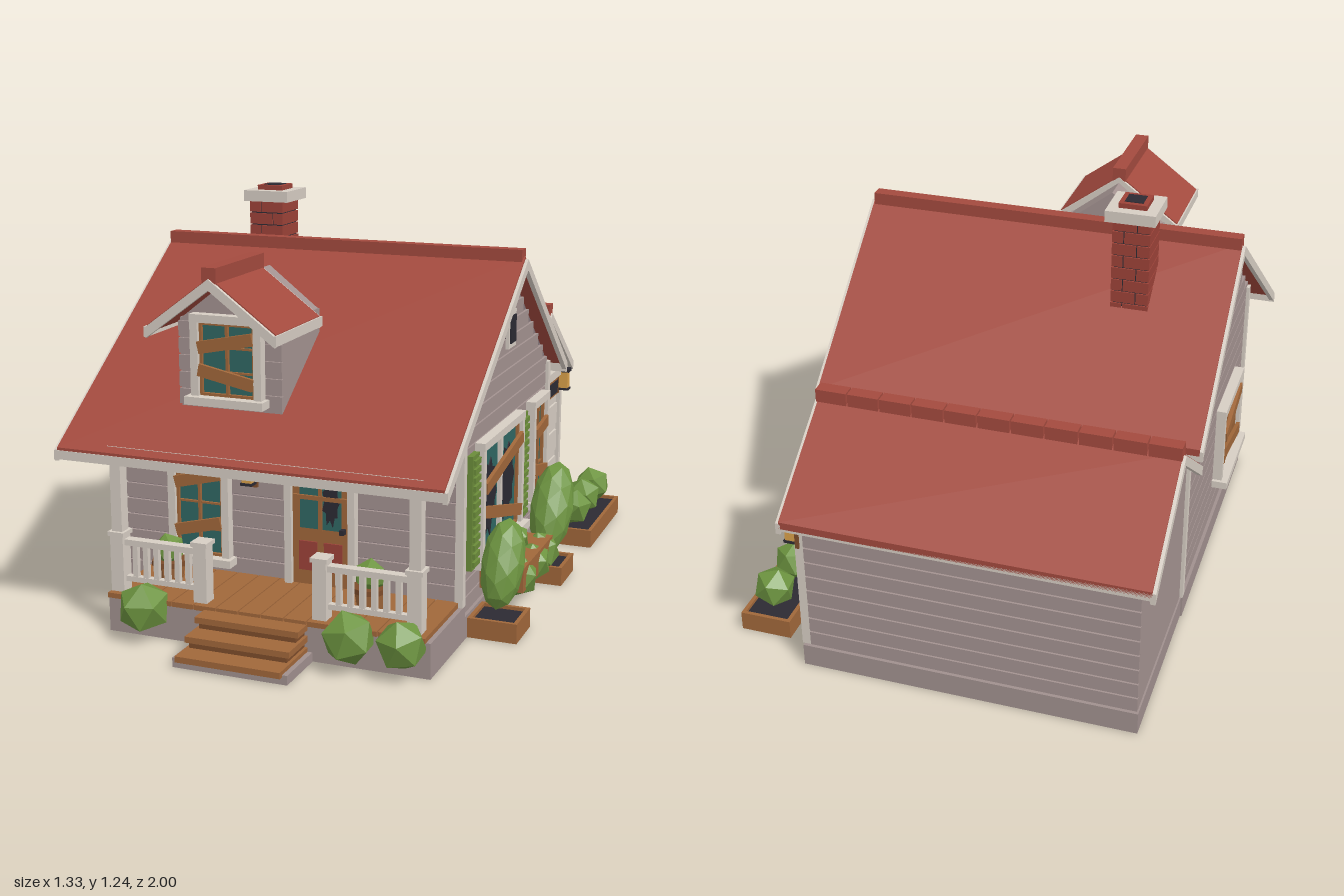
import * as THREE from 'three';

const C = {
  wall: 0xa39290, wallDark: 0x85767a, base: 0xa0908e, roof: 0xa34a3e, trim: 0xd6cdc3, wood: 0xa0673a,
  woodDark: 0x7d4c2a, glass: 0x2f6663, dark: 0x2c2a33, leaf: 0x6d9440, shutter: 0x6b8c3a, red: 0x9c4238, lamp: 0xd9a04a,
};
const mats = {};
const mat = (c) => (mats[c] ??= new THREE.MeshStandardMaterial({ color: C[c], flatShading: true }));

function add(parent, name, geo, color) {
  const m = new THREE.Mesh(geo, mat(color));
  m.name = name;
  parent.add(m);
  return m;
}
// Box from min/max ranges
function box(parent, name, color, x0, x1, y0, y1, z0, z1) {
  const m = add(parent, name, new THREE.BoxGeometry(x1 - x0, y1 - y0, z1 - z0), color);
  m.position.set((x0 + x1) / 2, (y0 + y1) / 2, (z0 + z1) / 2);
  return m;
}
function group(parent, name, x = 0, y = 0, z = 0, ry = 0) {
  const g = new THREE.Group();
  g.name = name;
  g.position.set(x, y, z);
  g.rotation.y = ry;
  parent.add(g);
  return g;
}
const extrude = (pts, depth) => new THREE.ExtrudeGeometry(
  new THREE.Shape(pts.map(([a, b]) => new THREE.Vector2(a, b))), { depth, bevelEnabled: false });
// (z, y) profile swept along x
function prismX(parent, name, color, pts, x0, x1) {
  const m = add(parent, name, extrude(pts.map(([z, y]) => [-z, y]), x1 - x0).rotateY(Math.PI / 2), color);
  m.position.x = x0;
  return m;
}
// (x, y) profile swept along z
function prismZ(parent, name, color, pts, z0, z1) {
  const m = add(parent, name, extrude(pts, z1 - z0), color);
  m.position.z = z0;
  return m;
}
// Bent roof profile: eave, ridge, eave with vertical thickness
const chevron = (a, r, b, t, drop = 0) => [
  ...[a, r, b].map(([u, v]) => [u, v - drop]), ...[b, r, a].map(([u, v]) => [u, v - drop - t])];

// Boarded window facing +z, centred on its origin
function windowUnit(parent, name, x, y, z, ry, w, h, { cols = 2, rows = 3, broken = false, slopes = [0.2, -0.2] } = {}) {
  const g = group(parent, name, x, y, z, ry), W = w / 2, H = h / 2, t = 0.024;
  box(g, 'glass', 'glass', -W, W, -H, H, 0, 0.008);
  for (const s of [-1, 1]) {
    box(g, 'casingSide', 'trim', s * (W + t / 2) - t / 2, s * (W + t / 2) + t / 2, -H, H, 0, 0.03);
    box(g, 'sashSide', 'wood', s * (W - 0.004) - 0.004, s * (W - 0.004) + 0.004, -H, H, 0.004, 0.018);
    box(g, 'sashRail', 'wood', -W, W, s * (H - 0.004) - 0.004, s * (H - 0.004) + 0.004, 0.004, 0.018);
  }
  box(g, 'casingTop', 'trim', -W - t, W + t, H, H + t, 0, 0.032);
  box(g, 'sill', 'trim', -W - t * 1.5, W + t * 1.5, -H - t, -H, 0, 0.05);
  for (let i = 1; i < cols; i++) box(g, 'mullion', broken ? 'trim' : 'wood', -W + w * i / cols - (broken ? 0.01 : 0.004), -W + w * i / cols + (broken ? 0.01 : 0.004), -H, H, 0.004, 0.02);
  if (!broken) for (let j = 1; j < rows; j++) box(g, 'muntin', 'wood', -W, W, -H + h * j / rows - 0.003, -H + h * j / rows + 0.003, 0.004, 0.016);
  if (broken) for (const s of [-1, 1]) hole(g, s * W / 2, 0, w * 0.21, h * 0.42);
  slopes.forEach((a, i) => {
    const p = box(g, 'plank', 'wood', -W, W, -0.018, 0.018, 0.022, 0.034);
    p.position.y = h * (i ? -0.22 : 0.24);
    p.rotation.z = a;
  });
  return g;
}
// Jagged opening in broken glass
function hole(parent, x, y, rx, ry) {
  const pts = [];
  for (let i = 0; i < 18; i++) {
    const a = i * Math.PI / 9, r = i % 2 ? 0.68 : 0.92 + 0.08 * Math.sin(i * 2.7);
    pts.push([x + rx * r * Math.cos(a), y + ry * r * Math.sin(a)]);
  }
  prismZ(parent, 'brokenPane', 'dark', pts, 0.006, 0.011);
}
function bush(parent, x, y, z, r, sy = 1, tilt = 0) {
  const m = add(parent, 'bush', new THREE.IcosahedronGeometry(r, sy > 1 ? 1 : 0).scale(1, sy, 1), 'leaf');
  m.position.set(x, y, z);
  m.rotation.set(tilt, sy > 1 ? 0 : x * 7 + z * 9, sy > 1 ? 0 : 0.3);
}
function planter(parent, x0, x1, z0, z1) {
  const g = group(parent, 'planter');
  box(g, 'soil', 'dark', x0 + 0.01, x1 - 0.01, 0.005, 0.05, z0 + 0.01, z1 - 0.01);
  for (const x of [x0, x1 - 0.012]) box(g, 'plankSide', 'wood', x, x + 0.012, 0, 0.06, z0, z1);
  for (const z of [z0, z1 - 0.012]) box(g, 'plankEnd', 'wood', x0, x1, 0, 0.06, z, z + 0.012);
}
function lantern(parent, x, y, z, ry) {
  const g = group(parent, 'lantern', x, y, z, ry);
  box(g, 'backPlate', 'woodDark', -0.02, 0.02, -0.05, 0.045, 0, 0.012);
  box(g, 'light', 'lamp', -0.016, 0.016, -0.03, 0.03, 0.012, 0.044);
  box(g, 'cap', 'dark', -0.021, 0.021, 0.03, 0.042, 0.005, 0.05);
  box(g, 'foot', 'dark', -0.019, 0.019, -0.038, -0.03, 0.005, 0.048);
}

export function createModel() {
  const model = new THREE.Group();
  model.name = 'cottage';
  const mainY = (z) => (z > 0.06 ? 1.065 - 0.693 * (z - 0.06) : 1.065 - 0.81 * (0.06 - z));

  // Foundations and wall cores
  box(model, 'mainFoundation', 'base', -0.61, 0.51, 0, 0.07, -0.41, 0.53);
  box(model, 'garageFoundation', 'base', -0.605, 0.41, 0, 0.07, -0.96, -0.4);
  prismX(model, 'mainWalls', 'wallDark', [[0.51, 0.02], [0.51, 0.73], [0.06, 1.045], [-0.4, 0.67], [-0.4, 0.02]], -0.59, 0.49);
  prismX(model, 'garageWalls', 'wall', [[-0.94, 0.02], [-0.94, 0.545], [-0.675, 0.745], [-0.39, 0.53], [-0.39, 0.02]], -0.6, 0.39);

  // Horizontal siding, stepped under the gables
  const siding = group(model, 'siding');
  for (let y = 0.07; y < 1.0; y += 0.05) {
    const top = y + 0.045;
    const front = Math.min(0.51, 0.06 + (1.04 - top) / 0.693), back = Math.max(-0.4, 0.06 - (1.04 - top) / 0.81);
    if (front - back > 0.04) for (const x of [-0.6, 0.49]) box(siding, 'sideBoard', 'wall', x, x + 0.01, y, top, back, front);
    if (y < 0.68) box(siding, 'frontBoard', 'wall', -0.6, 0.5, y, top, 0.51, 0.52);
    if (y < 0.5) box(siding, 'backBoard', 'wall', -0.6, 0.39, y, top, -0.95, -0.94);
  }
  for (const x of [-0.61, 0.485]) for (const z of [0.5, -0.41]) box(model, 'cornerTrim', 'trim', x, x + 0.025, 0.07, 0.65 + (z > 0 ? 0.05 : 0), z, z + 0.025);

  // Roofs with white barge boards, eave boards and ridge caps
  function roof(name, a, r, b, x0, x1) {
    const g = group(model, name);
    prismX(g, 'roofSlab', 'roof', chevron(a, r, b, 0.022), x0 + 0.01, x1 - 0.01);
    for (const x of [x0, x1 - 0.015]) prismX(g, 'bargeBoard', 'trim', chevron(a, r, b, 0.033, 0.007), x, x + 0.015);
    return g;
  }
  const mr = roof('mainRoof', [0.81, 0.545], [0.06, 1.065], [-0.46, 0.644], -0.655, 0.555);
  box(mr, 'frontFascia', 'trim', -0.655, 0.555, 0.51, 0.537, 0.795, 0.812);
  box(mr, 'backFascia', 'trim', -0.655, 0.555, 0.605, 0.635, -0.46, -0.447);
  box(mr, 'ridgeCap', 'roof', -0.645, 0.54, 1.05, 1.088, 0.04, 0.08);
  const gr = roof('garageRoof', [-0.41, 0.566], [-0.675, 0.765], [-1, 0.53], -0.648, 0.445);
  box(gr, 'backFascia', 'trim', -0.648, 0.445, 0.5, 0.525, -1, -0.987);
  for (let i = 0; i < 11; i++) box(gr, 'ridgeTile', 'roof', -0.64 + i * 0.0985, -0.546 + i * 0.0985, 0.75, 0.79, -0.696, -0.654);

  // Chimney with brick courses
  const ch = group(model, 'chimney');
  box(ch, 'mortarCore', 'dark', -0.4, -0.295, 0.8, 1.19, -0.14, -0.025);
  for (let i = 0; i < 10; i++) {
    const y = 0.8 + i * 0.039, split = i % 2 ? -0.365 : -0.325;
    box(ch, 'brick', 'red', -0.405, split - 0.002, y, y + 0.035, -0.145, -0.02);
    box(ch, 'brick', 'red', split + 0.002, -0.29, y, y + 0.035, -0.145, -0.02);
  }
  box(ch, 'cap', 'trim', -0.424, -0.271, 1.185, 1.22, -0.168, -0.015);
  box(ch, 'flue', 'red', -0.39, -0.304, 1.22, 1.235, -0.135, -0.049);
  box(ch, 'flueOpening', 'dark', -0.375, -0.319, 1.22, 1.237, -0.12, -0.064);

  // Dormer
  const d = group(model, 'dormer', -0.16);
  prismX(d, 'dormerWalls', 'wall', [[0.64, 0.66], [0.64, 0.925], [0.365, 0.925], [0.365, 0.845]], -0.16, 0.16);
  prismZ(d, 'dormerGable', 'wall', [[-0.16, 0.92], [0.16, 0.92], [0, 1.045]], 0.365, 0.64);
  for (let y = 0.67; y < 0.9; y += 0.05) box(d, 'dormerBoard', 'wall', -0.163, 0.163, y, y + 0.045, 0.635, 0.648);
  const dc = [[0.2, 0.92], [0, 1.068], [-0.2, 0.92]];
  prismZ(d, 'dormerRoof', 'roof', chevron(...dc, 0.025), 0.46, 0.765);
  for (const z of [0.45, 0.762]) prismZ(d, 'dormerBarge', 'trim', chevron(...dc, 0.032, 0.004), z, z + 0.014);
  for (const s of [-1, 1]) box(d, 'dormerEave', 'trim', s * 0.2 - 0.005, s * 0.2 + 0.005, 0.888, 0.918, 0.45, 0.776);
  box(d, 'dormerRidge', 'roof', -0.022, 0.022, 1.05, 1.095, 0.452, 0.77);
  windowUnit(d, 'dormerWindow', 0, 0.812, 0.648, 0, 0.175, 0.215);

  // Porch deck, posts and railings
  const porch = group(model, 'porch');
  box(porch, 'porchBase', 'base', -0.49, 0.51, 0, 0.105, 0.5, 0.808);
  for (let i = 0; i < 14; i++) box(porch, 'deckPlank', 'wood', -0.49 + i * 0.0707, -0.423 + i * 0.0707, 0.105, 0.12, 0.52, 0.815);
  box(porch, 'porchBeam', 'trim', -0.49, 0.48, 0.515, 0.56, 0.755, 0.79);
  for (const x of [-0.467, 0.457]) box(porch, 'post', 'trim', x - 0.017, x + 0.017, 0.12, 0.54, 0.755, 0.79);
  for (const x of [-0.467, -0.197, 0.175, 0.457]) {
    box(porch, 'postBase', 'trim', x - 0.021, x + 0.021, 0.12, 0.295, 0.75, 0.795);
    box(porch, 'postCap', 'trim', x - 0.026, x + 0.026, 0.29, 0.303, 0.745, 0.8);
  }
  for (const [a, b] of [[-0.45, -0.21], [0.19, 0.44]]) {
    box(porch, 'topRail', 'trim', a, b, 0.262, 0.28, 0.755, 0.785);
    box(porch, 'bottomRail', 'trim', a, b, 0.15, 0.166, 0.76, 0.78);
    for (let i = 1; i < 7; i++) {
      const x = a + (b - a) * i / 7;
      box(porch, 'baluster', 'trim', x - 0.008, x + 0.008, 0.16, 0.265, 0.763, 0.779);
    }
  }
  // Steps
  box(porch, 'stepFooting', 'base', -0.19, 0.16, 0, 0.028, 0.81, 0.985);
  for (let i = 0; i < 3; i++) {
    box(porch, 'riser', 'woodDark', -0.165, 0.135, 0.02, 0.1 - i * 0.035, 0.8, 0.868 + i * 0.062);
    box(porch, 'tread', 'wood', -0.175, 0.145, 0.092 - i * 0.035, 0.11 - i * 0.035, 0.8, 0.876 + i * 0.062);
  }
  // Potted plants on the porch
  for (const x of [-0.36, 0.28]) {
    add(porch, 'pot', new THREE.CylinderGeometry(0.05, 0.038, 0.07, 8), 'wood').position.set(x, 0.155, 0.67);
    add(porch, 'potRim', new THREE.CylinderGeometry(0.055, 0.055, 0.015, 8), 'woodDark').position.set(x, 0.187, 0.67);
    bush(porch, x, 0.225, 0.67, 0.05);
  }

  // Front door
  const fd = group(model, 'frontDoor', 0.072, 0.12, 0.52);
  for (const x of [-0.112, 0.09]) box(fd, 'doorCasing', 'trim', x, x + 0.022, 0, 0.39, 0, 0.03);
  box(fd, 'doorHead', 'trim', -0.112, 0.112, 0.385, 0.412, 0, 0.034);
  box(fd, 'doorLeaf', 'wood', -0.09, 0.09, 0, 0.385, 0, 0.015);
  box(fd, 'doorGlass', 'glass', -0.066, 0.066, 0.175, 0.355, 0.01, 0.017);
  hole(group(fd, 'doorHole', 0, 0, 0.01), 0.035, 0.265, 0.03, 0.085);
  box(fd, 'doorMullion', 'wood', -0.006, 0.006, 0.17, 0.36, 0.012, 0.022);
  box(fd, 'doorBar', 'wood', -0.085, 0.085, 0.265, 0.278, 0.012, 0.024);
  for (const x of [-0.04, 0.04]) box(fd, 'doorPanel', 'red', x - 0.029, x + 0.029, 0.045, 0.135, 0.01, 0.02);
  box(fd, 'handle', 'dark', 0.066, 0.08, 0.17, 0.185, 0.012, 0.035);
  lantern(model, -0.155, 0.45, 0.52, 0);

  // Windows, shutters and gable vent
  const R = Math.PI / 2;
  windowUnit(model, 'frontWindow', -0.325, 0.335, 0.52, 0, 0.155, 0.33, { rows: 4, slopes: [0.24, 0.24] });
  windowUnit(model, 'bigSideWindow', 0.5, 0.375, 0.182, R, 0.385, 0.335, { broken: true, slopes: [0.17, -0.26] });
  windowUnit(model, 'smallSideWindow', 0.5, 0.385, -0.243, R, 0.138, 0.31, { slopes: [0.14, -0.2] });
  windowUnit(model, 'farSideWindow', -0.6, 0.325, 0.215, -R, 0.26, 0.235, { cols: 3 });
  for (const z of [0.44, -0.08]) {
    box(model, 'shutter', 'shutter', 0.5, 0.518, 0.2, 0.545, z - 0.032, z + 0.032);
    for (let i = 0; i < 13; i++) box(model, 'shutterSlat', 'shutter', 0.515, 0.526, 0.21 + i * 0.0255, 0.226 + i * 0.0255, z - 0.026, z + 0.026);
  }
  for (const x of [-0.61, 0.5]) {
    box(model, 'ventFrame', 'trim', x, x + 0.01, 0.785, 0.9, 0.02, 0.1);
    box(model, 'vent', 'dark', x - 0.004, x + 0.014, 0.8, 0.885, 0.032, 0.088);
  }

  // Garage door with window strip and raised panels
  const gd = group(model, 'garageDoor', 0.39, 0, -0.68, R);
  box(gd, 'doorSheet', 'trim', -0.25, 0.25, 0.07, 0.49, 0, 0.012);
  for (const x of [-0.27, 0.245]) box(gd, 'doorTrim', 'trim', x, x + 0.025, 0.07, 0.51, 0, 0.026);
  box(gd, 'lintel', 'trim', -0.27, 0.27, 0.485, 0.515, 0, 0.03);
  for (let i = -1; i <= 1; i++) {
    const x = i * 0.163;
    box(gd, 'paneFrame', 'wood', x - 0.075, x + 0.075, 0.413, 0.475, 0.008, 0.018);
    box(gd, 'pane', 'dark', x - 0.067, x + 0.067, 0.421, 0.467, 0.01, 0.021);
    for (let j = 0; j < 3; j++) box(gd, 'raisedPanel', 'trim', x - 0.066, x + 0.066, 0.1 + j * 0.102, 0.178 + j * 0.102, 0.008, 0.02);
  }
  box(gd, 'pullHandle', 'dark', -0.025, 0.025, 0.187, 0.197, 0.01, 0.032);
  lantern(model, 0.4, 0.465, -0.935, R);

  // Planters and shrubs
  const garden = group(model, 'garden');
  planter(garden, 0.5, 0.66, -0.865, -0.435);
  planter(garden, 0.51, 0.66, 0.335, 0.48);
  planter(garden, 0.51, 0.66, -0.19, -0.035);
  box(garden, 'windowBox', 'wood', 0.5, 0.635, 0.1, 0.175, -0.01, 0.33);
  for (const z of [-0.5, -0.64, -0.785]) bush(garden, 0.58, 0.12, z, 0.065);
  for (const z of [0.26, 0.115, 0.005]) bush(garden, 0.6, 0.125, z, 0.065);
  for (const z of [0.33, 0.155]) bush(garden, 0.56, 0.21, z, 0.045);
  bush(garden, 0.595, 0.215, 0.41, 0.065, 2.1, -0.5);
  bush(garden, 0.6, 0.23, -0.125, 0.07, 2.2, -0.55);
  for (const [x, r] of [[-0.36, 0.08], [0.28, 0.08], [0.435, 0.075]]) bush(garden, x, 0.1, 0.835, r);
  return model;
}
